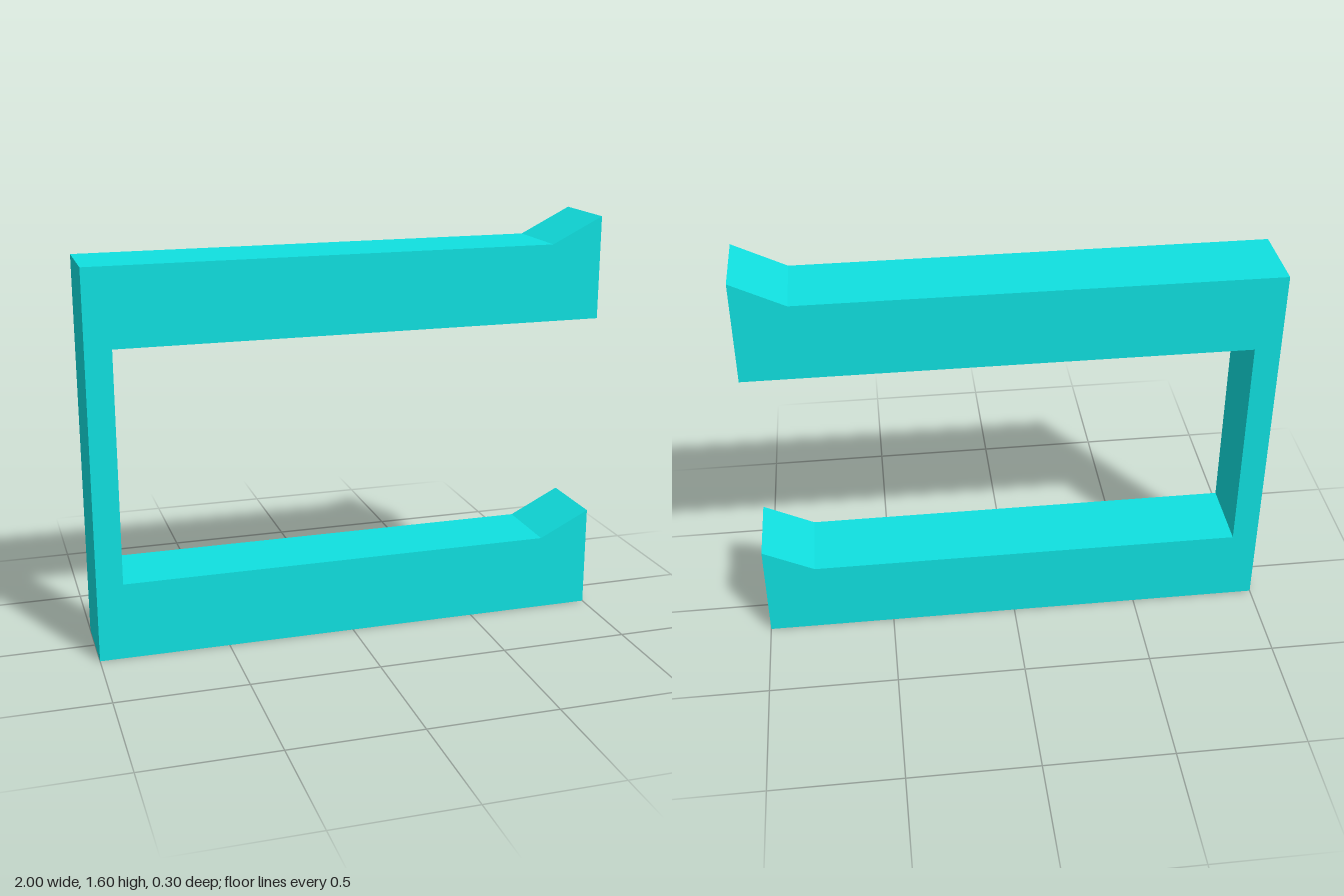
import * as THREE from 'three';

const DEPTH = 0.3;

export function createModel() {
  const group = new THREE.Group();
  group.name = 'doubleArmBracket';

  const material = new THREE.MeshStandardMaterial({ color: 0x10e0e0, flatShading: true });

  // Side profile: thin back plate with two arms, each ending in an upturned lip
  const profile = new THREE.Shape([
    [-1, 0], [1, 0], [1, 0.4], [0.8, 0.3], [-0.9, 0.3],      // lower arm
    [-0.9, 1.2],                                             // back plate
    [1, 1.2], [1, 1.6], [0.8, 1.5], [-1, 1.5],               // upper arm
  ].map(([x, y]) => new THREE.Vector2(x, y)));

  const geometry = new THREE.ExtrudeGeometry(profile, { depth: DEPTH, bevelEnabled: false });
  geometry.translate(0, 0, -DEPTH / 2);

  const bracket = new THREE.Mesh(geometry, material);
  bracket.name = 'bracket';
  group.add(bracket);
  return group;
}
